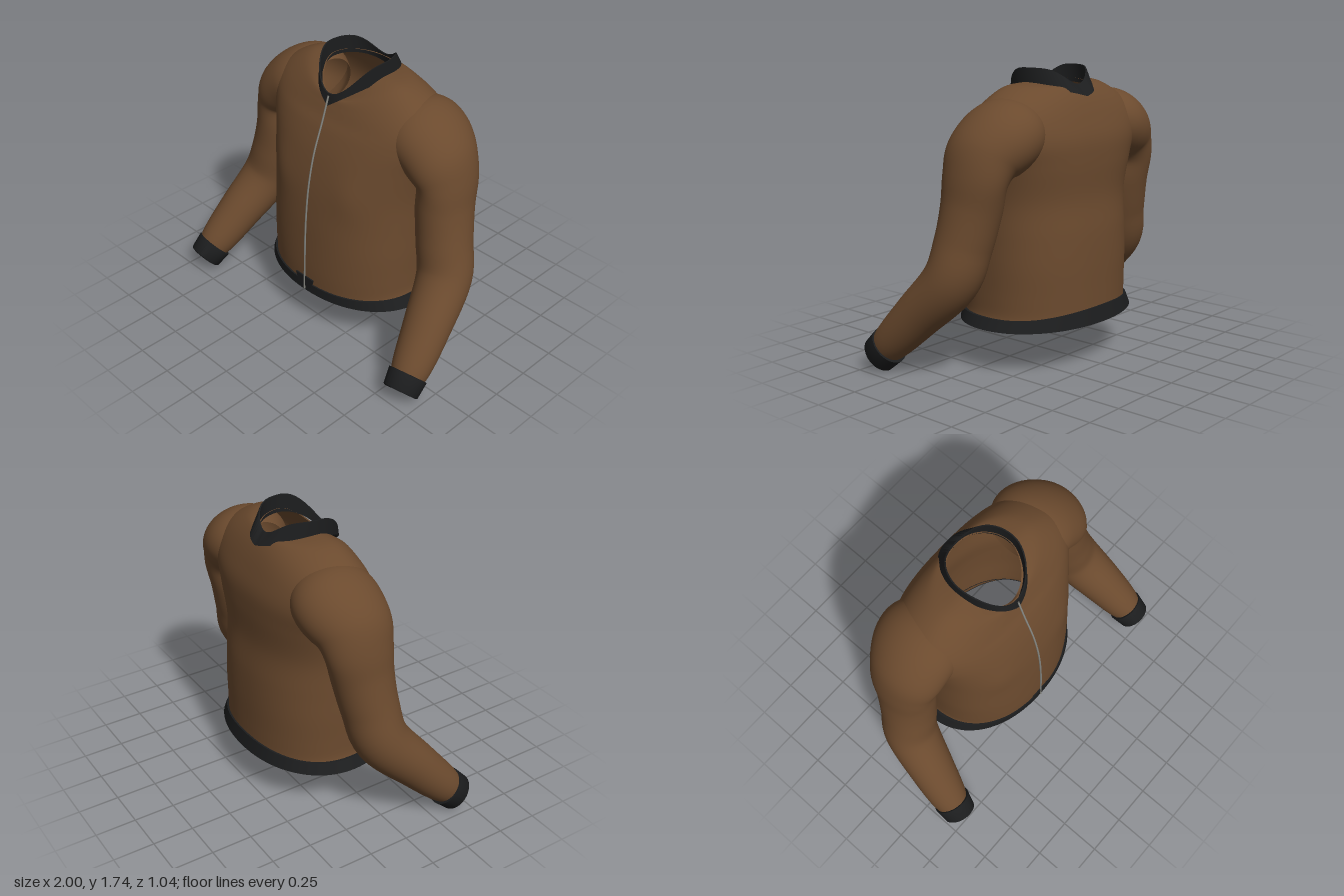
import * as THREE from 'three';
import { toCreasedNormals } from 'three/addons/utils/BufferGeometryUtils.js';

const SEG = 72;

function material(name, color) {
  const m = new THREE.MeshStandardMaterial({ color, side: THREE.DoubleSide });
  m.name = name;
  return m;
}

// Resample a short list of cross-section parameters along smooth curves
function smooth(rows, n) {
  const curves = rows[0].map((_, c) =>
    new THREE.SplineCurve(rows.map((r, i) => new THREE.Vector2(i, r[c]))));
  return Array.from({ length: n + 1 }, (_, i) => curves.map((k) => k.getPoint(i / n).y));
}

// Skin a list of closed rings of points
function loft(rings) {
  const pos = [], idx = [], n = rings[0].length;
  rings.forEach((ring, j) => ring.forEach((p, i) => {
    pos.push(p.x, p.y, p.z);
    if (j === rings.length - 1) return;
    const a = j * n + i, b = j * n + (i + 1) % n;
    idx.push(a, b, a + n, b, b + n, a + n);
  }));
  const g = new THREE.BufferGeometry();
  g.setAttribute('position', new THREE.Float32BufferAttribute(pos, 3));
  g.setIndex(idx);
  g.computeVertexNormals();
  return g;
}

function ring(fn) {
  return Array.from({ length: SEG }, (_, i) => {
    const a = (i / SEG) * Math.PI * 2;
    return fn(Math.sin(a), Math.cos(a));
  });
}

// Level ring: half width, front z, back z, height as a function of cos(angle), squareness
function bodyRing(rx, zf, zb, height, power = 2) {
  const sq = (t) => Math.sign(t) * Math.abs(t) ** (2 / power);
  return ring((s, c) =>
    new THREE.Vector3(rx * sq(s), height(c), (zf + zb) / 2 + ((zf - zb) / 2) * sq(c)));
}

// Ring across a sleeve, perpendicular to dir
function sleeveRing([x, y, z, ru, rv], dir, side) {
  const d = dir.clone().normalize();
  const v = new THREE.Vector3(0, 0, 1).addScaledVector(d, -d.z).normalize();
  const u = new THREE.Vector3().crossVectors(d, v);
  return ring((s, c) => {
    const p = new THREE.Vector3(x, y, z).addScaledVector(u, ru * s).addScaledVector(v, rv * c);
    p.x *= side;
    return p;
  });
}

export function createModel() {
  const group = new THREE.Group();
  const fabric = material('brown fabric', 0x6b4a2e);
  const knit = material('black knit', 0x1c1d1e);
  const metal = material('grey metal', 0x85857f);
  const add = (name, geo, mat) => {
    const m = new THREE.Mesh(geo, mat);
    m.name = name;
    group.add(m);
    return m;
  };

  // Torso: height, half width, front z, back z, front drop, back drop, squareness
  const torso = smooth([
    [0.275, 0.562, 0.345, -0.503, 0, 0, 2.15],
    [0.33, 0.528, 0.348, -0.493, 0, 0, 2.2],
    [0.45, 0.523, 0.348, -0.49, 0, 0, 2.25],
    [0.62, 0.525, 0.34, -0.487, 0, 0, 2.3],
    [0.80, 0.525, 0.327, -0.478, 0, 0, 2.3],
    [1.00, 0.53, 0.302, -0.458, 0, 0, 2.35],
    [1.20, 0.56, 0.256, -0.465, 0, 0, 2.5],
    [1.34, 0.60, 0.206, -0.46, 0, 0, 2.55],
    [1.46, 0.60, 0.165, -0.425, 0.04, 0, 2.5],
    [1.56, 0.52, 0.138, -0.382, 0.08, 0, 2.3],
    [1.645, 0.36, 0.118, -0.335, 0.125, 0.015, 2.05],
    [1.66, 0.2, 0.10, -0.315, 0.15, 0.03, 2],
  ], 66).map(([y, rx, zf, zb, df, db, power]) => {
    const pts = bodyRing(rx, zf, zb, (c) => y - (c > 0 ? df : db) * c * c, power);
    // gentle chest fullness on both sides
    pts.forEach((p) => {
      if (p.z > 0) p.z += 0.012 * Math.exp(-((Math.abs(p.x) - 0.28) ** 2) / 0.012 - ((p.y - 1.02) ** 2) / 0.02);
    });
    return pts;
  });
  add('torso', loft(torso), fabric);

  // Sleeves: centre x, y, z, half width, half depth; they begin inside the shoulder
  const sleeve = smooth([
    [0.30, 1.42, -0.17, 0.12, 0.16],
    [0.41, 1.40, -0.17, 0.195, 0.24],
    [0.51, 1.36, -0.16, 0.207, 0.258],
    [0.615, 1.275, -0.14, 0.19, 0.235],
    [0.675, 1.16, -0.135, 0.152, 0.207],
    [0.685, 1.0, -0.115, 0.16, 0.185],
    [0.72, 0.8, -0.085, 0.165, 0.168],
    [0.775, 0.59, -0.035, 0.165, 0.16],
    [0.835, 0.37, 0.165, 0.143, 0.138],
    [0.878, 0.19, 0.337, 0.116, 0.115],
    [0.897, 0.088, 0.44, 0.072, 0.077],
  ], 60);
  // Cuffs: same parameters, closing with a rim around the opening
  const cuffDir = new THREE.Vector3(0.14, -0.67, 0.73);
  const cuff = [
    [0.882, 0.158, 0.366, 0.1, 0.1],
    [0.883, 0.156, 0.368, 0.118, 0.118],
    [0.896, 0.087, 0.441, 0.104, 0.112],
    [0.898, 0.082, 0.446, 0.096, 0.104],
    [0.898, 0.084, 0.445, 0.073, 0.078],
  ];
  for (const [label, side] of [['left', 1], ['right', -1]]) {
    const rings = sleeve.map((row, i) => {
      const a = sleeve[Math.max(0, i - 1)], b = sleeve[Math.min(sleeve.length - 1, i + 1)];
      return sleeveRing(row, new THREE.Vector3(b[0] - a[0], b[1] - a[1], b[2] - a[2]), side);
    });
    add(label + 'Sleeve', loft(rings), fabric);
    add(label + 'Cuff', toCreasedNormals(loft(cuff.map((r) => sleeveRing(r, cuffDir, side))), 0.8), knit);
  }

  // Flared hem band, a little taller at the back
  const hemTop = (c) => 0.33 + 0.035 * Math.max(0, -c) ** 3;
  const hemLow = (c) => 0.268 + 0.004 * Math.max(0, -c);
  add('hemBand', toCreasedNormals(loft([
    bodyRing(0.522, 0.342, -0.488, hemTop, 2.2),
    bodyRing(0.544, 0.357, -0.502, hemTop, 2.2),
    bodyRing(0.58, 0.357, -0.52, hemLow, 2.15),
    bodyRing(0.56, 0.343, -0.501, hemLow, 2.15),
  ]), 0.8), knit);

  // Tab where the hem meets the zip
  const tab = new THREE.Shape([[-0.055, 0.3], [0.055, 0.3], [0.075, 0.37], [-0.075, 0.37]]
    .map(([x, y]) => new THREE.Vector2(x, y)));
  add('hemTab', new THREE.ExtrudeGeometry(tab, { depth: 0.009, bevelEnabled: false }), knit)
    .position.z = 0.349;

  // Stand collar, high at the sides, with a V at the front and a shallower one behind
  const up = (c) => Math.max(0, c), back = (c) => Math.max(0, -c);
  const vee = (c) => 1 - Math.sqrt(Math.max(0, 1 - c * c));
  const colTop = (c) => 1.742 - 0.19 * up(c) ** 2.4 - 0.095 * back(c) ** 5;
  const colLow = (c) => 1.635 - (c > 0 ? 0.155 : 0.055) * vee(c);
  add('collar', toCreasedNormals(loft([
    bodyRing(0.215, 0.148, -0.384, colLow),
    bodyRing(0.214, 0.134, -0.322, colTop),
    bodyRing(0.206, 0.126, -0.314, colTop),
    bodyRing(0.204, 0.115, -0.33, colLow),
  ]), 0.8), knit);

  // Zip down the front
  const path = new THREE.CatmullRomCurve3([
    [0.275, 0.359], [0.4, 0.354], [0.6, 0.346], [0.8, 0.332], [1.0, 0.307],
    [1.2, 0.261], [1.4, 0.187], [1.54, 0.14],
  ].map(([y, z]) => new THREE.Vector3(0, y, z)));
  add('zip', new THREE.TubeGeometry(path, 40, 0.006, 6), metal);

  return group;
}
